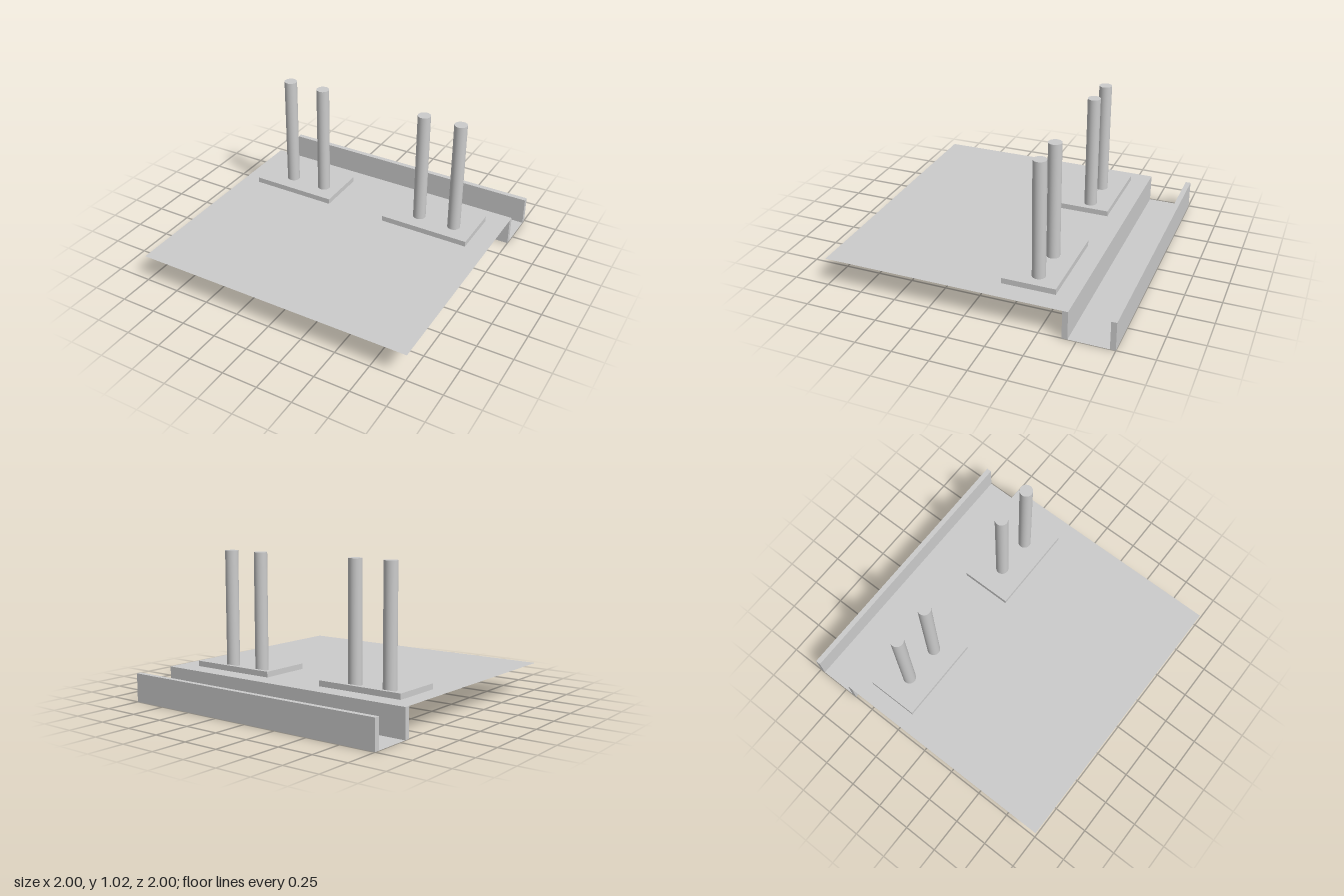
import * as THREE from 'three';

const DECK_Y = 0.2;

export function createModel() {
  const model = new THREE.Group();
  const solid = new THREE.MeshStandardMaterial({ color: 0xcccccc });
  const sheet = new THREE.MeshStandardMaterial({ color: 0xcccccc, side: THREE.DoubleSide });

  const add = (name, geometry, material = solid) => {
    const mesh = new THREE.Mesh(geometry, material);
    mesh.name = name;
    model.add(mesh);
  };

  // Horizontal sheet across the full width, from z0 to z1
  const addSheet = (name, y, z0, z1) =>
    add(name, new THREE.PlaneGeometry(2, z1 - z0).rotateX(-Math.PI / 2).translate(0, y, (z0 + z1) / 2), sheet);

  // Upright wall across the full width
  const addWall = (name, z0, z1) =>
    add(name, new THREE.BoxGeometry(2, DECK_Y, z1 - z0).translate(0, DECK_Y / 2, (z0 + z1) / 2));

  // Deck and the sunken channel behind it
  addSheet('deck', DECK_Y, -0.655, 1);
  addSheet('channelFloor', 0, -0.963, -0.693);
  addWall('channelFrontWall', -0.693, -0.655);
  addWall('channelBackWall', -1, -0.963);

  // Rectangular curbs lying on the deck
  const rect = (target, x0, x1, z0, z1) =>
    target.moveTo(x0, -z0).lineTo(x1, -z0).lineTo(x1, -z1).lineTo(x0, -z1).closePath();
  const rim = 0.026;
  for (const [name, x0, x1] of [['rightCurb', -0.876, -0.247], ['leftCurb', 0.198, 0.85]]) {
    const z0 = -0.561, z1 = -0.194;
    const shape = rect(new THREE.Shape(), x0, x1, z0, z1);
    shape.holes.push(rect(new THREE.Path(), x0 + rim, x1 - rim, z0 + rim, z1 - rim));
    add(name, new THREE.ExtrudeGeometry(shape, { depth: 0.039, bevelEnabled: false })
      .rotateX(-Math.PI / 2).translate(0, DECK_Y, 0));
  }

  // Pipes passing down through the deck, two in each curb
  const bottom = 0.154, top = 1.022;
  for (const x of [-0.678, -0.405, 0.405, 0.678]) {
    add('pipe', new THREE.CylinderGeometry(0.046, 0.046, top - bottom, 32)
      .translate(x, (top + bottom) / 2, -0.385));
  }
  return model;
}
